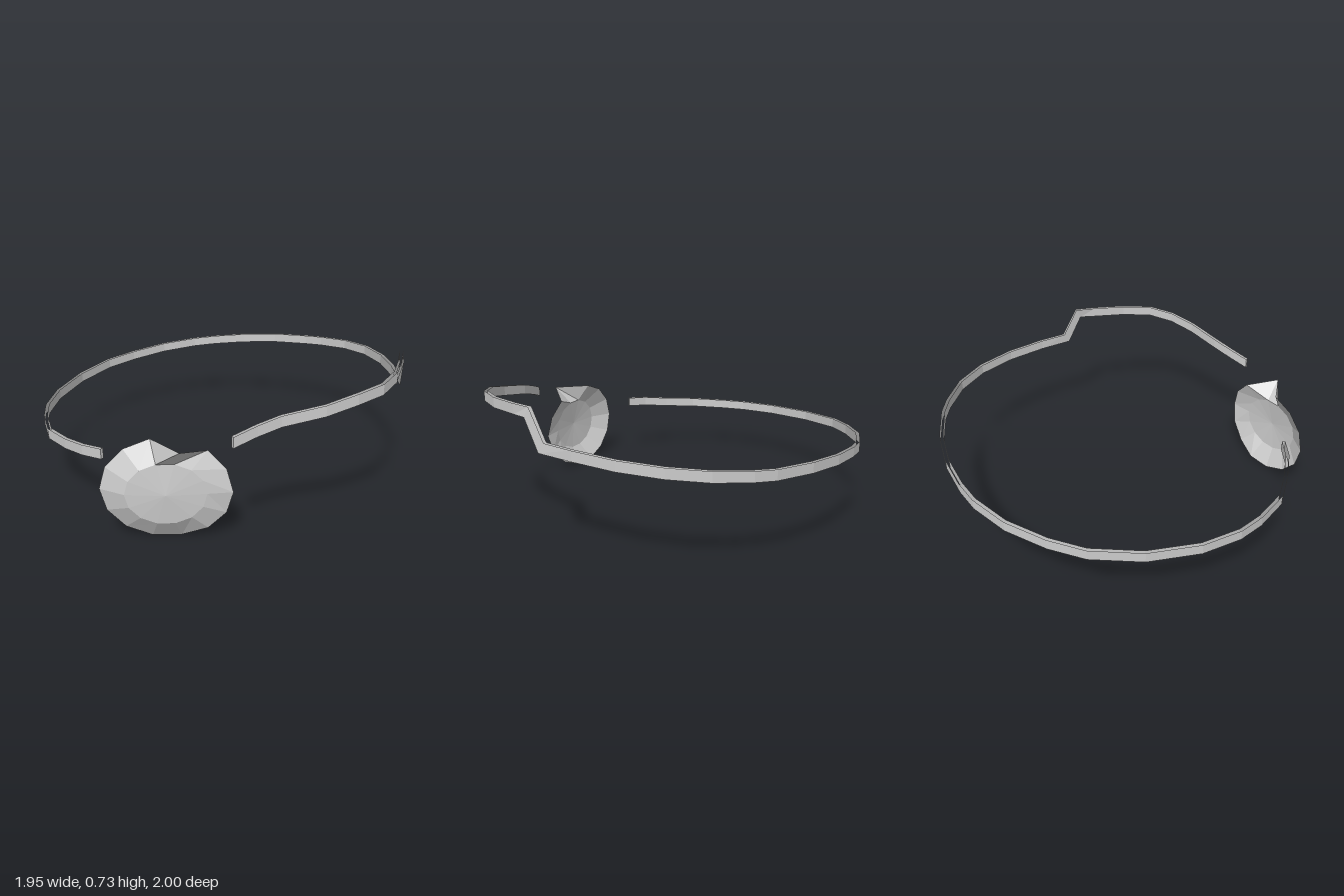
import * as THREE from 'three';

const grey = new THREE.MeshStandardMaterial({ color: 0xcccccc, side: THREE.DoubleSide, flatShading: true });
grey.name = 'grey';

// Collects quads and triangles into one flat-shaded mesh
function facetMesh(name, faces) {
  const pos = [];
  for (const f of faces) {
    for (let i = 1; i < f.length - 1; i++) pos.push(...f[0], ...f[i], ...f[i + 1]);
  }
  const geo = new THREE.BufferGeometry();
  geo.setAttribute('position', new THREE.Float32BufferAttribute(pos, 3));
  geo.computeVertexNormals();
  const mesh = new THREE.Mesh(geo, grey);
  mesh.name = name;
  return mesh;
}

// Strap centre line: x, y, z, and an optional lean of the upper edge in z
const strapPath = [
  [0.03, 0.528, 0.955], [0.14, 0.565, 0.915], [0.25, 0.597, 0.885], [0.45, 0.635, 0.862],
  [0.6, 0.668, 0.81], [0.73, 0.685, 0.73], [0.83, 0.692, 0.58], [0.9, 0.7, 0.4],
  [0.935, 0.705, 0.295, -0.03], [0.952, 0.548, 0.208, -0.035], [0.967, 0.543, 0.03], [0.965, 0.533, -0.2],
  [0.92, 0.522, -0.42], [0.83, 0.507, -0.6], [0.7, 0.49, -0.74], [0.61, 0.48, -0.81],
  [0.41, 0.467, -0.91], [0.2, 0.45, -0.97], [0, 0.433, -0.99], [-0.14, 0.42, -0.985],
  [-0.35, 0.4, -0.93], [-0.55, 0.378, -0.82], [-0.7, 0.362, -0.7], [-0.85, 0.342, -0.48],
  [-0.945, 0.327, -0.22], [-0.969, 0.32, 0], [-0.95, 0.318, 0.15], [-0.89, 0.32, 0.35],
  [-0.78, 0.33, 0.5], [-0.68, 0.345, 0.61], [-0.58, 0.354, 0.68],
];

// Strap: outer and inner walls, open along the edges and closed at both ends
function buildStrap() {
  const half = 0.009, h = 0.027;
  const rings = strapPath.map(([x, y, z, lean = 0], i) => {
    const a = strapPath[Math.max(i - 1, 0)];
    const b = strapPath[Math.min(i + 1, strapPath.length - 1)];
    const dx = b[0] - a[0], dz = b[2] - a[2], len = Math.hypot(dx, dz);
    const nx = (-dz / len) * half, nz = (dx / len) * half;
    const corner = (s, t) => [x + s * nx, y + t * h, z + s * nz + (t * lean) / 2];
    return [corner(1, -1), corner(1, 1), corner(-1, 1), corner(-1, -1)];
  });
  const faces = [rings[0], rings[rings.length - 1]];
  for (let i = 0; i < rings.length - 1; i++) {
    const p = rings[i], q = rings[i + 1];
    faces.push([p[0], q[0], q[1], p[1]], [p[2], q[2], q[3], p[3]]);
  }
  return facetMesh('strap', faces);
}

// Patch: shallow fourteen-sided dish, one rim corner pulled forward
function buildPatch() {
  const n = 14, cx = -0.27, cy = 0.25;
  const rimZ = { 0: 0.893, 1: 0.88, 2: 0.865, 3: 1, 12: 0.865, 13: 0.88 };
  const ring = (rx, ry, zAt) => Array.from({ length: n }, (_, i) => {
    const a = (i / n) * Math.PI * 2;
    return [cx + rx * Math.cos(a), cy + ry * Math.sin(a), zAt(i)];
  });
  const rim = ring(0.31, 0.256, (i) => rimZ[i] ?? 0.84);
  const front = ring(0.19, 0.154, () => 0.905);
  const centre = [cx, cy, 0.92];
  const faces = [];
  for (let i = 0; i < n; i++) {
    const j = (i + 1) % n;
    faces.push([rim[i], rim[j], front[j], front[i]], [front[i], front[j], centre]);
  }
  return facetMesh('patch', faces);
}

export function createModel() {
  const model = new THREE.Group();
  model.name = 'eyePatch';
  model.add(buildStrap(), buildPatch());
  return model;
}
